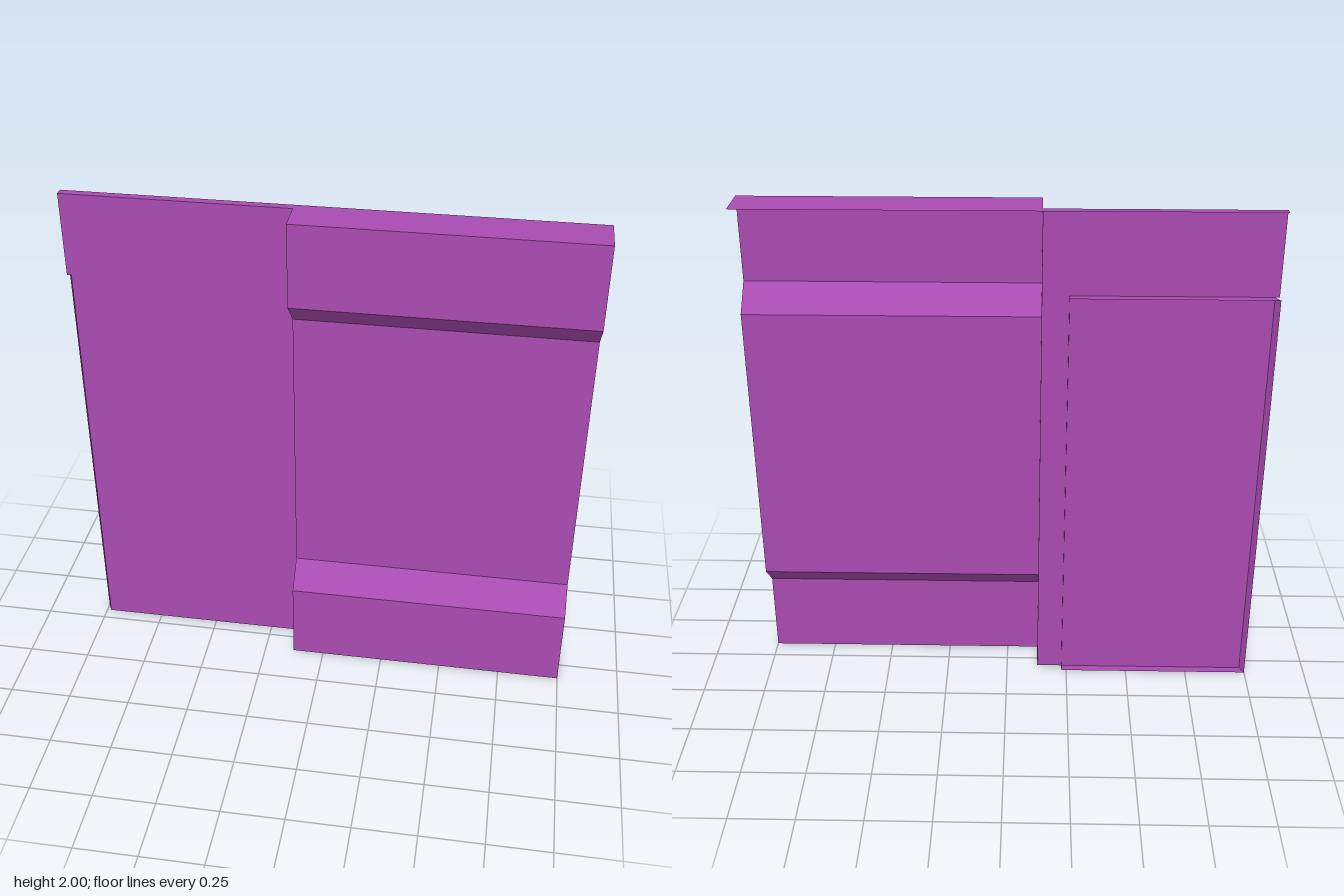
import * as THREE from 'three';

const LEFT = -1, STEP = -0.128, RIGHT = 1;
const FRONT = 0.083, RECESS = -0.015, SHEET = -0.05, BACK = -0.083;
const RIM_TOP = 1.67, RIM_INNER = -0.23, RIM_OUTER = -0.983;

export function createModel() {
  const group = new THREE.Group();
  const material = new THREE.MeshStandardMaterial({
    color: 0xa84bb0, side: THREE.DoubleSide, flatShading: true,
  });

  const add = (name, geometry) => {
    const mesh = new THREE.Mesh(geometry, material);
    mesh.name = name;
    group.add(mesh);
    return mesh;
  };

  // Thin folded sheet joining two matching polylines, one flat quad per segment
  const foldedSheet = (name, a, b) => {
    const points = [];
    for (let i = 0; i < a.length - 1; i++) {
      points.push(...a[i], ...b[i], ...b[i + 1], ...a[i], ...b[i + 1], ...a[i + 1]);
    }
    const geometry = new THREE.BufferGeometry();
    geometry.setAttribute('position', new THREE.Float32BufferAttribute(points, 3));
    geometry.computeVertexNormals();
    return add(name, geometry);
  };

  // Wide panel with a sloped recess: [y, z] from bottom to top
  const profile = [[0, FRONT], [0.335, FRONT], [0.432, RECESS], [1.572, RECESS], [RIM_TOP, FRONT], [2, FRONT]];
  const along = (x) => profile.map(([y, z]) => [x, y, z]);
  foldedSheet('recessedPanel', along(STEP), along(RIGHT));

  // Step wall between the recessed panel and the flat panel
  foldedSheet('stepWall', profile.map(([y]) => [STEP, y, SHEET]), along(STEP));

  // Flat panel, slightly narrower beside the rim
  const flat = new THREE.Shape([
    [RIM_OUTER, 0], [STEP, 0], [STEP, 2], [LEFT, 2], [LEFT, RIM_TOP], [RIM_OUTER, RIM_TOP],
  ].map(([x, y]) => new THREE.Vector2(x, y)));
  add('flatPanel', new THREE.ShapeGeometry(flat)).position.z = SHEET;

  // Top flange following the step
  const flange = new THREE.Shape([
    [LEFT, BACK], [RIGHT, BACK], [RIGHT, FRONT], [STEP, FRONT], [STEP, SHEET], [LEFT, SHEET],
  ].map(([x, z]) => new THREE.Vector2(x, -z)));
  const top = add('topFlange', new THREE.ShapeGeometry(flange).rotateX(-Math.PI / 2));
  top.position.y = 2;

  // Shallow rim standing out behind the flat panel, splayed at the outer side
  const rim = (outer, z) => [
    [RIM_INNER, 0, z], [RIM_INNER, RIM_TOP, z], [outer, RIM_TOP, z], [outer, 0, z], [RIM_INNER, 0, z],
  ];
  foldedSheet('backRim', rim(RIM_OUTER, SHEET), rim(LEFT, BACK));

  return group;
}
